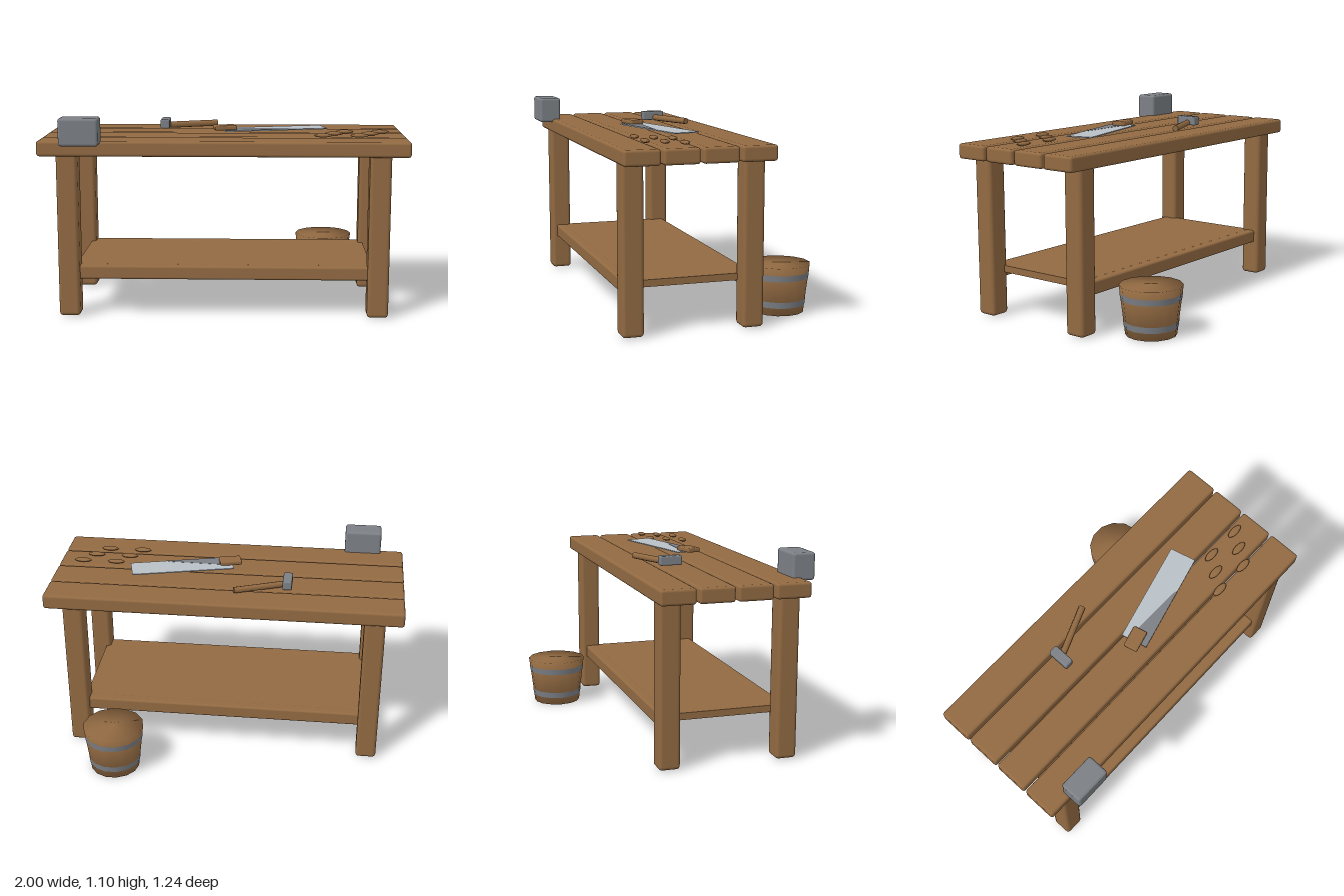
import * as THREE from 'three';
import { RoundedBoxGeometry } from 'three/addons/geometries/RoundedBoxGeometry.js';

const material = (name, color, side = THREE.FrontSide) => {
  const m = new THREE.MeshStandardMaterial({ color, side });
  m.name = name;
  return m;
};

export function createModel() {
  const model = new THREE.Group();
  model.name = 'workbench';
  const wood = material('wood', 0x926a42);
  const iron = material('iron', 0x7c8085, THREE.DoubleSide);
  const steel = material('steel', 0xb9c0c7);

  const add = (name, geometry, mat, x, y, z, parent = model) => {
    const mesh = new THREE.Mesh(geometry, mat);
    mesh.name = name;
    mesh.position.set(x, y, z);
    parent.add(mesh);
    return mesh;
  };
  const block = (name, size, radius, mat, pos, parent = model) =>
    add(name, new RoundedBoxGeometry(...size, 2, radius), mat, ...pos, parent);

  // Table top: four planks with narrow gaps
  for (let i = 0; i < 4; i++) {
    block('topPlank', [2, 0.083, 0.191], 0.015, wood, [0, 0.932, 0.447 - i * 0.2055]);
  }

  // Legs and the long rails between them
  for (const z of [0.468, -0.18]) {
    for (const x of [-0.842, 0.842]) {
      block('leg', [0.116, 0.9, 0.116], 0.02, wood, [x, 0.455, z]);
    }
    block('rail', [1.62, 0.075, 0.06], 0.012, wood, [0, 0.245, z]);
  }

  // Lower shelf
  add('shelf', new THREE.BoxGeometry(1.62, 0.038, 0.62), wood, 0, 0.262, 0.144);

  // Vise block on the front corner
  block('viseBlock', [0.212, 0.148, 0.126], 0.015, iron, [-0.762, 1.029, 0.555]);

  // Hammer
  block('hammerHead', [0.052, 0.052, 0.126], 0.008, iron, [-0.348, 1.01, -0.007]);
  const hammerHandle = add('hammerHandle', new THREE.CylinderGeometry(0.018, 0.018, 0.29, 8),
    wood, -0.19, 0.998, -0.072);
  hammerHandle.rotation.set(0, 0.384, -Math.PI / 2, 'YXZ');

  // Saw, turned slightly on the bench
  const saw = new THREE.Group();
  saw.name = 'saw';
  saw.position.set(0.273, 0, 0.144);
  saw.rotation.y = 0.25;
  model.add(saw);
  add('sawBlade', new THREE.BoxGeometry(0.584, 0.006, 0.149), steel, 0, 0.998, 0, saw);
  block('sawHandle', [0.125, 0.026, 0.08], 0.008, wood, [-0.282, 1.012, 0.003], saw);

  // Dark wedge along the toothed edge
  const wedge = new THREE.Shape([
    new THREE.Vector2(-0.292, 0.035), new THREE.Vector2(-0.292, -0.0745),
    new THREE.Vector2(0.085, -0.0745), new THREE.Vector2(0.06, -0.06),
  ]);
  const wedgeGeometry = new THREE.ExtrudeGeometry(wedge, { depth: 0.001, bevelEnabled: false });
  wedgeGeometry.rotateX(-Math.PI / 2);
  add('sawToothWedge', wedgeGeometry, iron, 0, 1.001, 0, saw);

  // Flat wood chips in staggered rows
  const chip = new THREE.SphereGeometry(1, 12, 8).scale(0.05, 0.011, 0.021);
  for (let row = 0; row < 3; row++) {
    for (let col = 0; col < 2; col++) {
      add('woodChip', chip, wood, 0.668 - row * 0.064 + col * 0.197, 0.987, 0.187 + row * 0.0855);
    }
  }

  // Bucket with two iron hoops, tapering to the base
  const bucket = new THREE.Group();
  bucket.name = 'bucket';
  bucket.position.set(0.594, 0, -0.452);
  model.add(bucket);
  const radiusAt = (y) => 0.138 + 0.033 * (y / 0.27);
  const lathe = (points) =>
    new THREE.LatheGeometry(points.map(([r, y]) => new THREE.Vector2(r, y)), 14, Math.PI / 2);
  add('bucketBody', lathe([[0, 0], [radiusAt(0), 0], [radiusAt(0.27), 0.27], [0, 0.27]]),
    wood, 0, 0, 0, bucket);
  for (const y of [0.06, 0.211]) {
    const low = y - 0.017, high = y + 0.017;
    add('bucketHoop', lathe([[radiusAt(low) + 0.0015, low], [radiusAt(high) + 0.0015, high]]),
      iron, 0, 0, 0, bucket);
  }

  return model;
}
